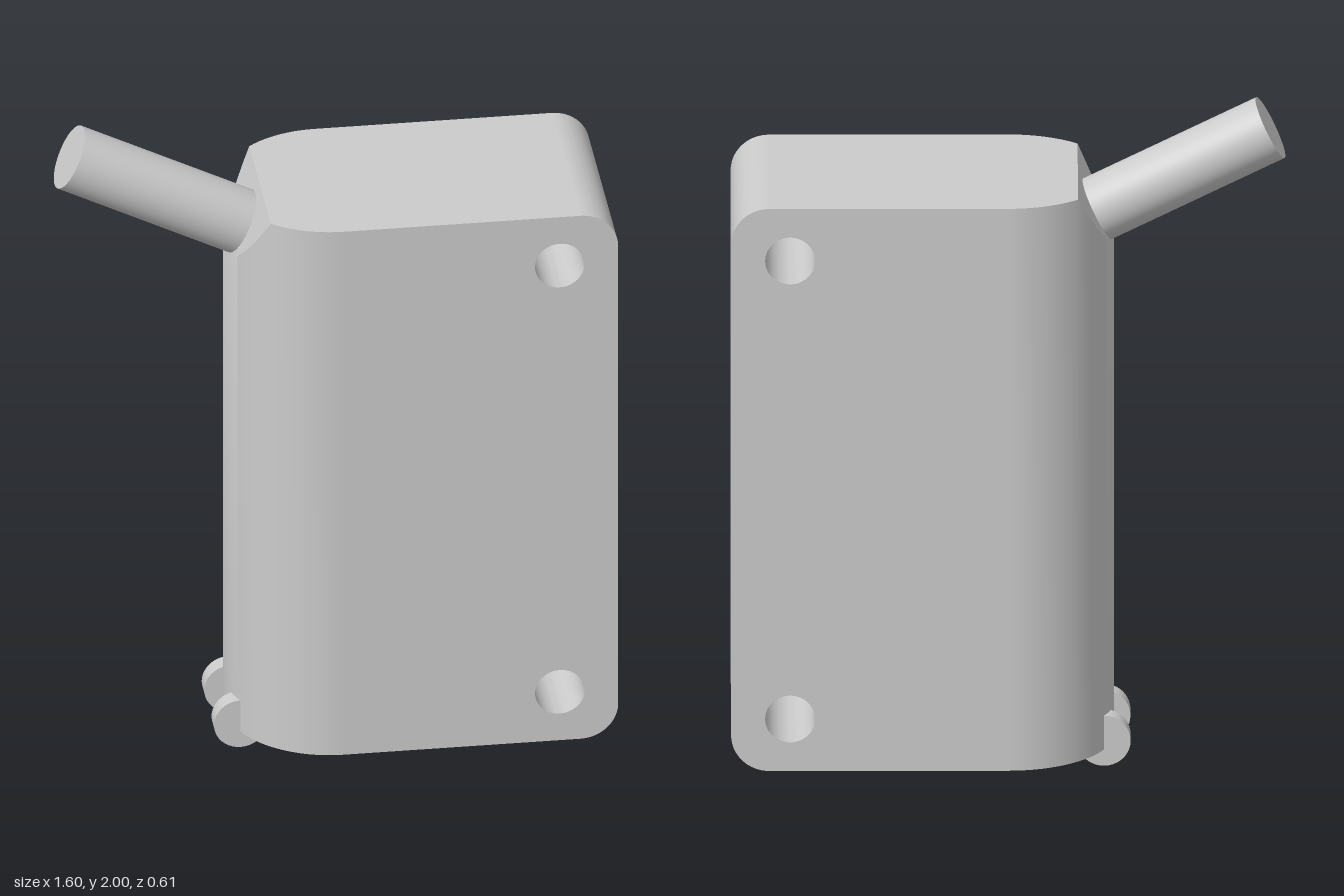
import * as THREE from 'three';
import { mergeGeometries, toCreasedNormals } from 'three/addons/utils/BufferGeometryUtils.js';

const R = 0.305;              // half depth and radius of the rounded end
const Y0 = 0.05, Y1 = 1.78;   // bottom and top of the housing
const X1 = 0.8, CORNER = 0.11;
const CHAMFER_X = -0.2;       // where the sloped cable face begins

const material = new THREE.MeshStandardMaterial({ color: 0xcccccc });

function addMesh(group, name, geometry) {
  const mesh = new THREE.Mesh(geometry, material);
  mesh.name = name;
  group.add(mesh);
  return mesh;
}

// Block half of the housing with rounded corners and two mounting holes
function blockGeometry() {
  const s = new THREE.Shape();
  s.moveTo(0, Y0);
  s.lineTo(X1 - CORNER, Y0);
  s.absarc(X1 - CORNER, Y0 + CORNER, CORNER, -Math.PI / 2, 0, false);
  s.absarc(X1 - CORNER, Y1 - CORNER, CORNER, 0, Math.PI / 2, false);
  s.lineTo(0, Y1);
  s.closePath();
  for (const y of [0.21, 1.62]) {
    s.holes.push(new THREE.Path().absarc(0.63, y, 0.072, 0, Math.PI * 2, true));
  }
  const g = new THREE.ExtrudeGeometry(s, { depth: 2 * R, bevelEnabled: false, curveSegments: 24 });
  g.translate(0, 0, -R);
  g.deleteAttribute('uv');
  return g;
}

// Half-round end, lofted from upright rectangles whose top follows the slope
function roundEndGeometry() {
  const angles = [Math.asin(-CHAMFER_X / R)];
  const steps = 24;
  for (let i = 0; i <= steps; i++) angles.push((i / steps) * Math.PI / 2);
  angles.sort((a, b) => a - b);
  const sections = angles.map((a) => {
    const x = -R * Math.sin(a), z = R * Math.cos(a);
    const top = Math.min(Y1, Y1 + 2 * (x - CHAMFER_X));
    return [[x, Y0, -z], [x, Y0, z], [x, top, z], [x, top, -z]];
  });
  const p = [];
  for (let i = 0; i < sections.length - 1; i++) {
    const a = sections[i], b = sections[i + 1];
    for (let k = 0; k < 4; k++) {
      const n = (k + 1) % 4;
      p.push(...a[k], ...a[n], ...b[n], ...a[k], ...b[n], ...b[k]);
    }
  }
  const g = new THREE.BufferGeometry();
  g.setAttribute('position', new THREE.Float32BufferAttribute(p, 3));
  g.computeVertexNormals();
  return g;
}

// Flat screw head with a cross-shaped recess, facing down
function screwGeometry() {
  const s = new THREE.Shape().absarc(0, 0, 0.147, 0, Math.PI * 2, false);
  const a = 0.085, w = 0.027;
  const cross = [[a, -w], [w, -w], [w, -a], [-w, -a], [-w, -w], [-a, -w],
    [-a, w], [-w, w], [-w, a], [w, a], [w, w], [a, w]];
  s.holes.push(new THREE.Path(cross.map(([x, y]) => new THREE.Vector2(x, y))));
  const g = new THREE.ExtrudeGeometry(s, { depth: 0.017, bevelEnabled: false, curveSegments: 24 });
  g.rotateX(Math.PI / 2);
  return toCreasedNormals(g, 0.6);
}

export function createModel() {
  const model = new THREE.Group();
  model.name = 'sensorHousing';

  addMesh(model, 'housing',
    toCreasedNormals(mergeGeometries([blockGeometry(), roundEndGeometry()]), 0.6));

  // Cable leaving square to the sloped face
  const start = new THREE.Vector3(-0.235, 1.655, 0);
  const end = new THREE.Vector3(-0.755, 1.915, 0);
  const cable = addMesh(model, 'cable',
    new THREE.CylinderGeometry(0.097, 0.097, start.distanceTo(end), 48));
  cable.position.copy(start).add(end).multiplyScalar(0.5);
  cable.quaternion.setFromUnitVectors(new THREE.Vector3(0, 1, 0), end.clone().sub(start).normalize());

  // Pair of round hinge tabs at the lower edge of the rounded end
  for (const side of [-1, 1]) {
    const tab = addMesh(model, side > 0 ? 'frontHingeTab' : 'backHingeTab',
      new THREE.CylinderGeometry(0.077, 0.077, 0.055, 40));
    tab.rotation.x = Math.PI / 2;
    tab.position.set(-0.275, 0.077, side * 0.104);
  }

  // Two screws in the underside
  [0.1, 0.48].forEach((x, i) => {
    addMesh(model, 'screw' + (i + 1), screwGeometry()).position.set(x, Y0 + 0.001, 0);
  });

  return model;
}
